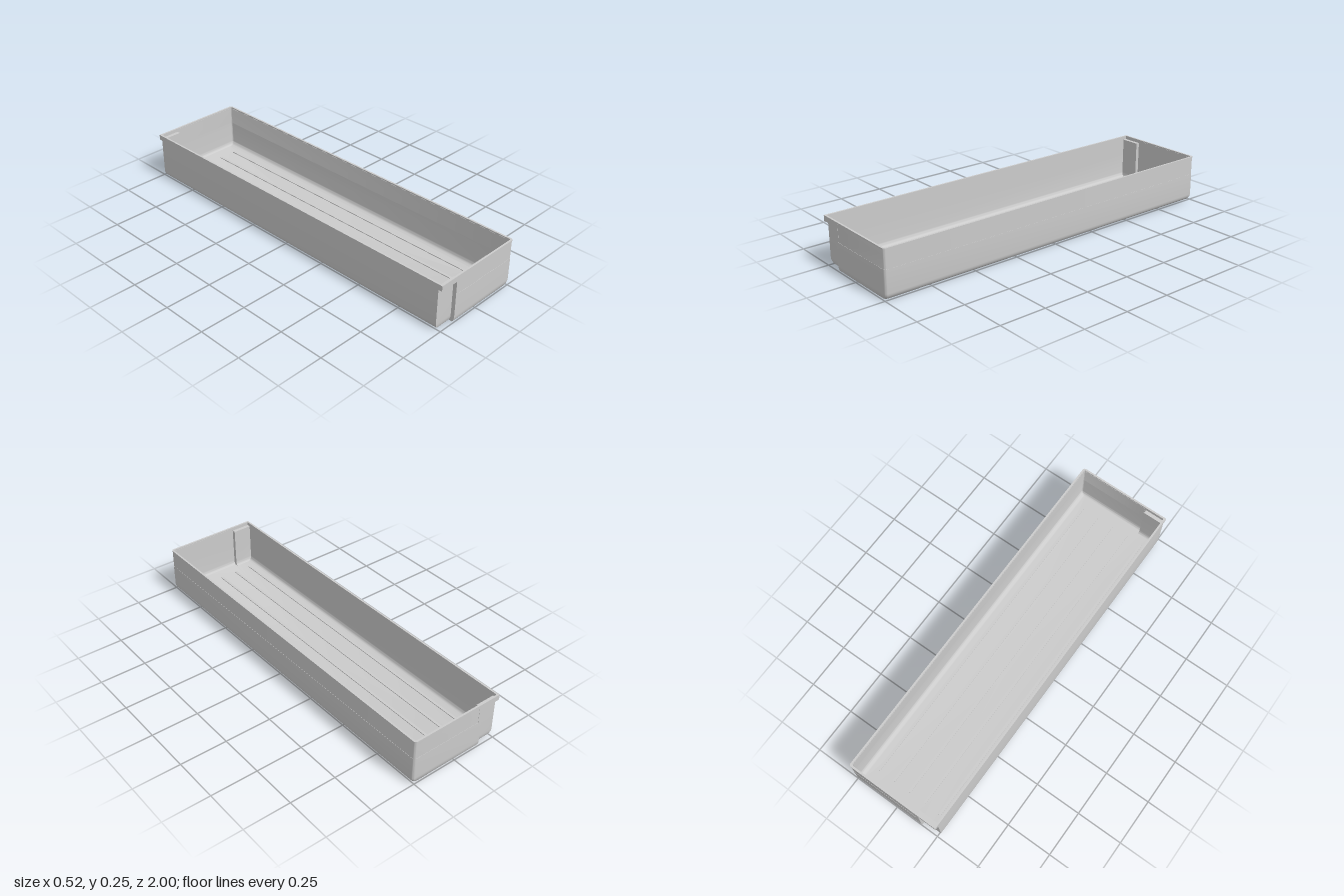
import * as THREE from 'three';
import { toCreasedNormals } from 'three/addons/utils/BufferGeometryUtils.js';

const HALF_W = 0.26, HALF_L = 1, HEIGHT = 0.254, WALL = 0.01;
const NOTCH_X = -0.155, NOTCH_DEPTH = 0.02, NOTCH_TOP = 0.225;
const PANEL_X = -0.135, PANEL_DEPTH = 0.001, PANEL_LOW = 0.153, PANEL_HIGH = 0.247;

// Horizontal outline of the tray at one height; both ends mirror each other.
function outline({ y, dx = 0, dz = 0, notch = 0, panel = 0, t = 0 }) {
  const xr = HALF_W - dx - panel, xl = -HALF_W + dx, z = HALF_L - dz;
  const r = t ? 0.008 : 0.015, half = [];
  for (let i = 0; i <= 5; i++) {
    const a = (i / 5) * Math.PI / 2;
    half.push([xr - r + r * Math.cos(a), z - panel - r + r * Math.sin(a)]);
  }
  half.push([PANEL_X, z - panel], [PANEL_X, z]);
  half.push([NOTCH_X + t, z], [NOTCH_X + t, z - notch], [xl, z - notch]);
  const back = half.map(([x, zz]) => [x, -zz]).reverse();
  return [...half, ...back].map(([x, zz]) => new THREE.Vector3(x, y, zz));
}

// Skins consecutive outlines, leaving out collapsed triangles.
function loft(rings) {
  const pos = [], tri = new THREE.Triangle();
  const add = (a, b, c) => {
    if (tri.set(a, b, c).getArea() > 1e-10) pos.push(...a, ...b, ...c);
  };
  for (let k = 0; k < rings.length - 1; k++) {
    const lo = rings[k], hi = rings[k + 1];
    lo.forEach((a, i) => {
      const j = (i + 1) % lo.length;
      add(a, hi[i], lo[j]);
      add(lo[j], hi[i], hi[j]);
    });
  }
  const geo = new THREE.BufferGeometry();
  geo.setAttribute('position', new THREE.Float32BufferAttribute(pos, 3));
  return toCreasedNormals(geo, 0.6);
}

// Outlines of one skin from the floor up; t is its inset from the outside.
function skin(t) {
  const n = NOTCH_DEPTH, top = NOTCH_TOP + t, levels = [];
  const rx = 0.035 - t, rz = 0.012;
  for (let i = 0; i <= 6; i++) {
    const a = (i / 6) * Math.PI / 2;
    levels.push({
      y: t + rx * (1 - Math.cos(a)), notch: n,
      dx: t + rx * (1 - Math.sin(a)), dz: t + rz * (1 - Math.sin(a)),
    });
  }
  const wall = (y, notch, panel) => levels.push({ y, notch, panel, dx: t, dz: t });
  wall(PANEL_LOW, n, 0);
  wall(PANEL_LOW, n, PANEL_DEPTH);
  wall(top, n, PANEL_DEPTH);
  wall(top, 0, PANEL_DEPTH);
  wall(PANEL_HIGH, 0, PANEL_DEPTH);
  wall(PANEL_HIGH, 0, 0);
  wall(HEIGHT, 0, 0);
  return levels.map((l) => outline({ ...l, t }));
}

export function createModel() {
  const group = new THREE.Group();
  group.name = 'drawerTray';
  const material = new THREE.MeshStandardMaterial({ color: 0xcccccc });

  // Shell: underside, outer walls, rim, inner walls and floor as one skin
  const outer = skin(0), inner = skin(WALL).reverse();
  const cap = (y) => outer[0].map(() => new THREE.Vector3(0, y, 0));
  const shell = new THREE.Mesh(loft([cap(0), ...outer, ...inner, cap(WALL)]), material);
  shell.name = 'trayShell';
  group.add(shell);

  // Low ribs along the floor
  const ribs = new THREE.Group();
  ribs.name = 'floorRibs';
  const ribGeo = new THREE.BoxGeometry(0.014, 0.006, 1.82);
  for (let i = -2; i <= 2; i++) {
    const rib = new THREE.Mesh(ribGeo, material);
    rib.name = 'floorRib';
    rib.position.set(-0.004 + i * 0.096, WALL + 0.001, 0);
    ribs.add(rib);
  }
  group.add(ribs);
  return group;
}
